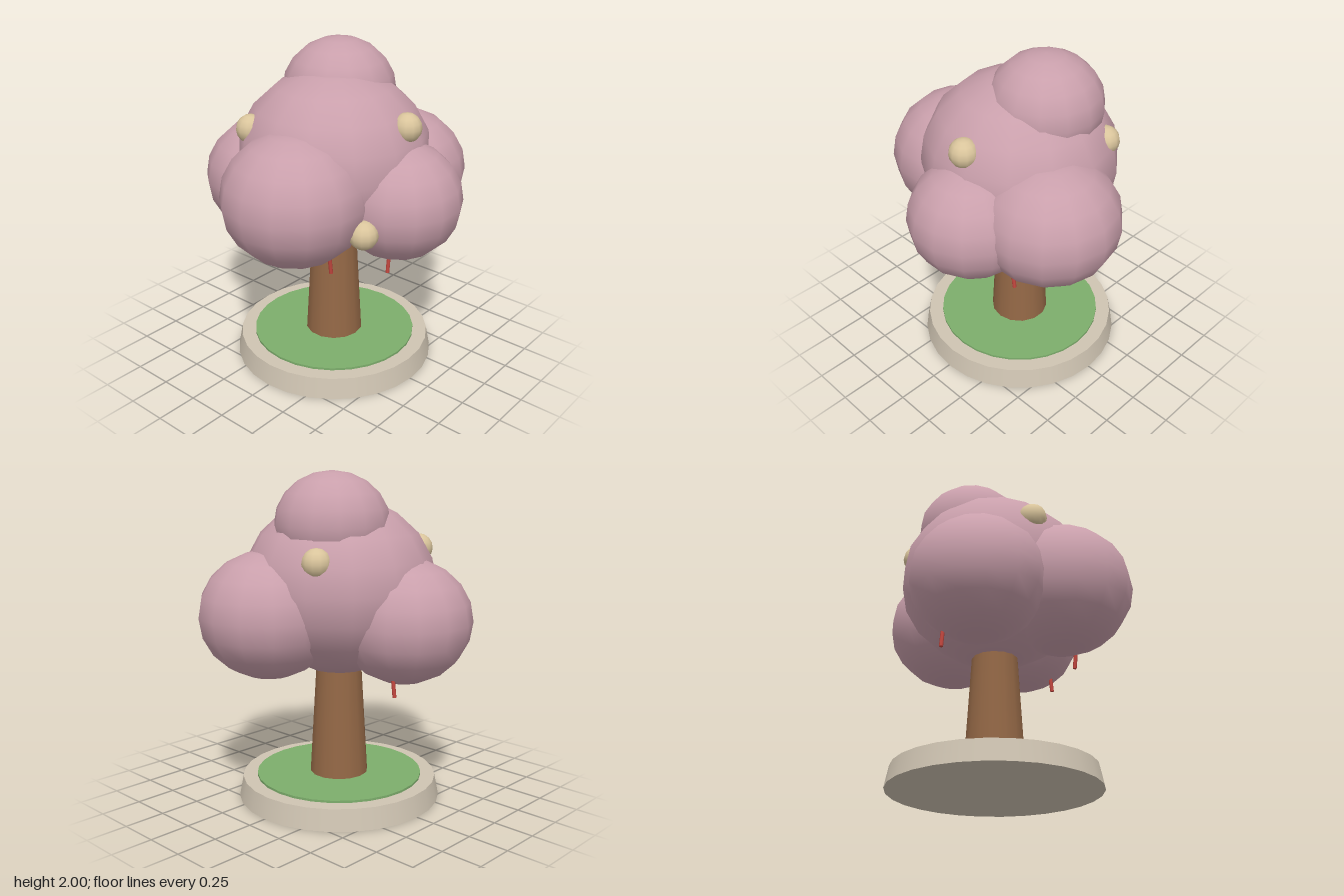
import * as THREE from 'three';

const mat = (name, color) => {
  const m = new THREE.MeshStandardMaterial({ color });
  m.name = name;
  return m;
};

export function createModel() {
  const model = new THREE.Group();
  model.name = 'blossomTree';

  const pink = mat('blossomPink', 0xc99fab);
  const brown = mat('barkBrown', 0x946846);
  const green = mat('grassGreen', 0x7dae6c);
  const stone = mat('stoneBeige', 0xcfc4b2);
  const cream = mat('budCream', 0xdac59c);
  const red = mat('stemRed', 0xc4473f);

  const add = (name, geometry, material, [x, y, z]) => {
    const mesh = new THREE.Mesh(geometry, material);
    mesh.name = name;
    mesh.position.set(x, y, z);
    model.add(mesh);
    return mesh;
  };

  // Tapered cylinder standing between two heights on the trunk axis
  const drum = (name, rTop, rBottom, y0, y1, sides, material) =>
    add(name, new THREE.CylinderGeometry(rTop, rBottom, y1 - y0, sides),
      material, [0.012, (y0 + y1) / 2, -0.004]);

  drum('planterBase', 0.6, 0.625, 0, 0.127, 28, stone);
  drum('grassDisc', 0.512, 0.512, 0.12, 0.141, 28, green);
  drum('trunk', 0.13, 0.18, 0.13, 0.98, 14, brown);

  // Foliage: slightly squashed spheres [name, centre, radius, vertical radius]
  const puffs = [
    ['crownCentre', [0.012, 1.32, -0.005], 0.585, 0.533],
    ['crownTop', [0.143, 1.69, -0.075], 0.34, 0.31],
    ['crownRight', [-0.413, 1.195, 0.065], 0.432, 0.395],
    ['crownLeft', [0.418, 1.168, 0.173], 0.42, 0.38],
    ['crownFront', [0.07, 1.133, 0.433], 0.38, 0.353],
    ['crownBack', [-0.115, 1.133, -0.41], 0.405, 0.373],
  ];
  for (const [name, centre, r, ry] of puffs) {
    const puff = new THREE.SphereGeometry(r, 14, 10);
    puff.scale(1, ry / r, 1);
    add(name, puff, pink, centre);
  }

  // Round buds half sunk in the foliage
  const buds = [
    [0.07, 1.58, 0.48], [-0.31, 1.055, 0.48],
    [-0.405, 1.53, -0.28], [0.445, 1.505, -0.25],
  ];
  buds.forEach((p, i) =>
    add(`bud${i + 1}`, new THREE.SphereGeometry(0.086, 12, 8), cream, p));

  // Thin hanging stems: [centre, lean about x, lean about z]
  const stems = [
    [[-0.381, 0.83, 0.3], 0, 0.12],
    [[-0.11, 0.8, 0.508], 0, -0.1],
    [[0.361, 0.805, 0.395], 0, 0.12],
    [[0.07, 0.77, -0.495], 0.12, 0],
  ];
  stems.forEach(([p, rx, rz], i) => {
    const stem = add(`stem${i + 1}`, new THREE.CylinderGeometry(0.012, 0.012, 0.1, 6), red, p);
    stem.rotation.set(rx, 0, rz);
  });

  return model;
}
